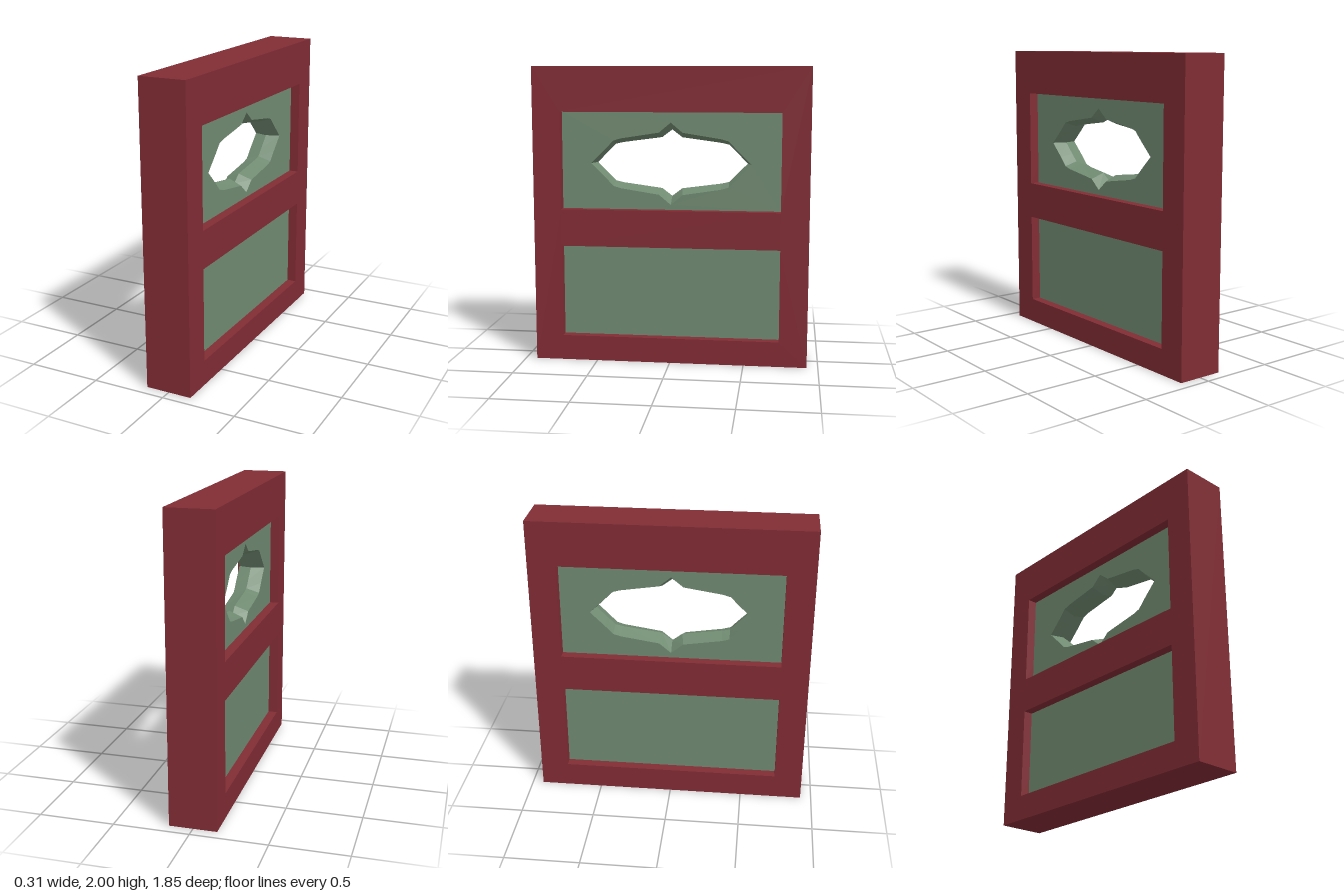
import * as THREE from 'three';

const HALF_DEPTH = 0.157, HALF_WIDTH = 0.925, PANEL_HALF = 0.092, OPENING_HALF = 0.737;
const UPPER = [1.045, 1.7], LOWER = [0.17, 0.795], HOLE_Y = 1.354;

// Quarter outlines of the ornamental opening, from its right tip to its top point
const OUTER = [[0.54, 0], [0.445, 0.093], [0.388, 0.153], [0.337, 0.168], [0.08, 0.208], [0, 0.275]];
const INNER = [[0.51, 0], [0.434, 0.077], [0.386, 0.125], [0.335, 0.137], [0.068, 0.173], [0, 0.225]];

// Mirror a quarter outline into a full counter-clockwise loop
function fullLoop(quarter) {
  const half = [...quarter, ...quarter.slice(0, -1).reverse().map(([u, v]) => [-u, v])];
  const loop = [...half, ...half.slice(1, -1).reverse().map(([u, v]) => [u, -v])];
  return loop.map(([u, v]) => new THREE.Vector2(u, v + HOLE_Y));
}

function rectangle(halfWidth, [y0, y1]) {
  return [[-halfWidth, y0], [halfWidth, y0], [halfWidth, y1], [-halfWidth, y1]]
    .map(([u, v]) => new THREE.Vector2(u, v));
}

// Sloping wall from the panel face down to the ridge in the middle of the panel
function bevelWall(outer, inner, depth) {
  const pos = [];
  outer.forEach((A, i) => {
    const j = (i + 1) % outer.length;
    const B = outer[j], a = inner[i], b = inner[j];
    pos.push(A.x, A.y, depth, B.x, B.y, depth, a.x, a.y, 0);
    pos.push(B.x, B.y, depth, b.x, b.y, 0, a.x, a.y, 0);
  });
  const geo = new THREE.BufferGeometry();
  geo.setAttribute('position', new THREE.Float32BufferAttribute(pos, 3));
  geo.computeVertexNormals();
  return geo;
}

export function createModel() {
  const model = new THREE.Group();
  const red = new THREE.MeshStandardMaterial({ color: 0x812c34 });
  red.name = 'dark red';
  const green = new THREE.MeshStandardMaterial({ color: 0x708a71 });
  green.name = 'sage green';

  const add = (name, geo, material, parent = model) => {
    const mesh = new THREE.Mesh(geo, material);
    mesh.name = name;
    parent.add(mesh);
    return mesh;
  };

  // Frame with two rectangular openings
  const frameShape = new THREE.Shape(rectangle(HALF_WIDTH, [0, 2]));
  for (const span of [UPPER, LOWER]) frameShape.holes.push(new THREE.Path(rectangle(OPENING_HALF, span)));
  const frame = new THREE.ExtrudeGeometry(frameShape, { depth: 2 * HALF_DEPTH, bevelEnabled: false });
  frame.translate(0, 0, -HALF_DEPTH).rotateY(Math.PI / 2);
  add('frame', frame, red);

  // Recessed panels: the upper one pierced by a bevelled opening, the same on both sides
  const outer = fullLoop(OUTER), inner = fullLoop(INNER);
  const upperShape = new THREE.Shape(rectangle(OPENING_HALF, UPPER));
  upperShape.holes.push(new THREE.Path(outer));
  const lowerShape = new THREE.Shape(rectangle(OPENING_HALF, LOWER));
  for (const [side, angle] of [['left', Math.PI / 2], ['right', -Math.PI / 2]]) {
    const group = new THREE.Group();
    group.name = side + 'Panels';
    group.rotation.y = angle;
    model.add(group);
    add('upperPanel', new THREE.ShapeGeometry(upperShape).translate(0, 0, PANEL_HALF), green, group);
    add('lowerPanel', new THREE.ShapeGeometry(lowerShape).translate(0, 0, PANEL_HALF), green, group);
    add('openingBevel', bevelWall(outer, inner, PANEL_HALF), green, group);
  }
  return model;
}
